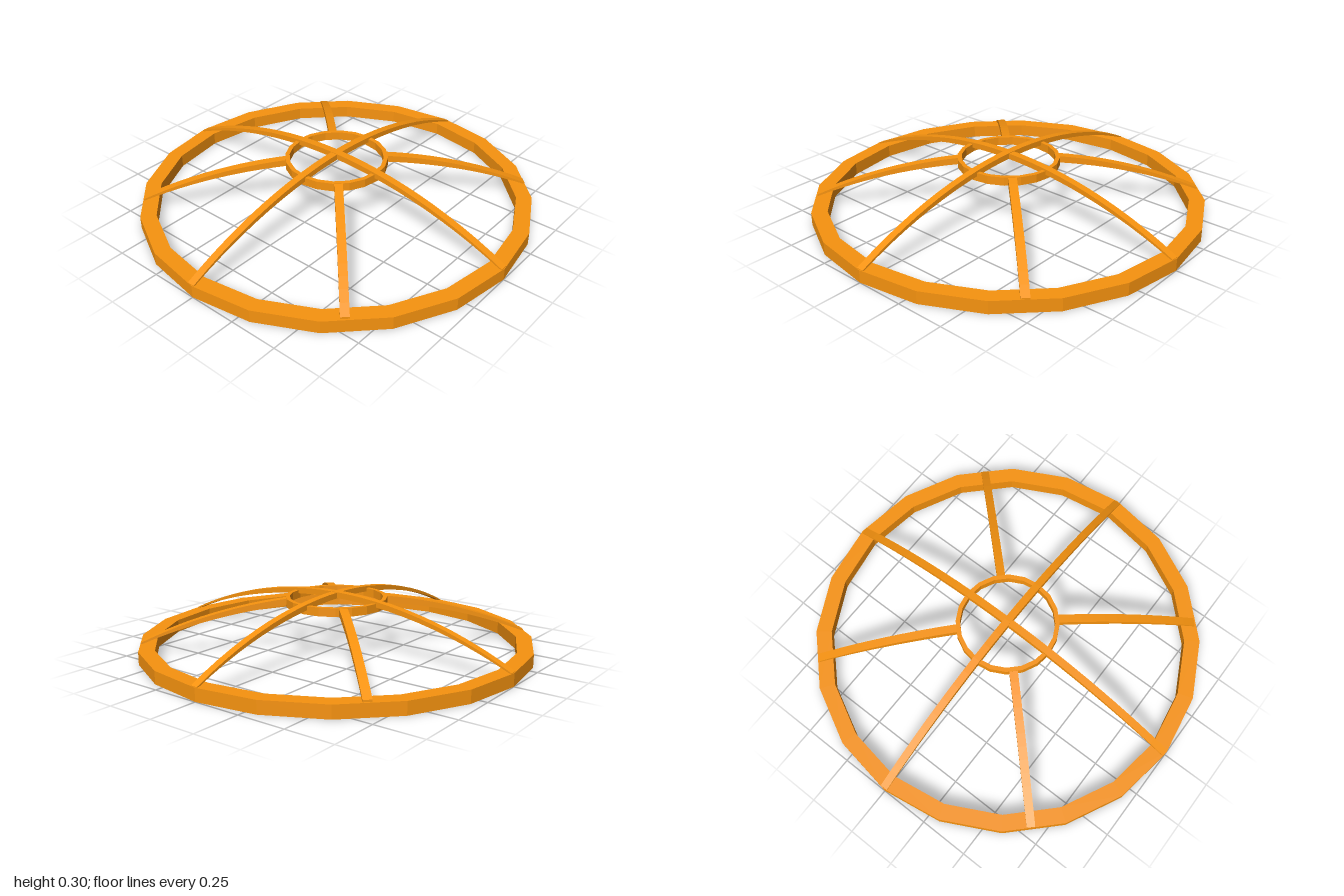
import * as THREE from 'three';

const material = new THREE.MeshStandardMaterial({ color: 0xf7930f, flatShading: true });

// Flat polygonal ring with its corners on the x and z axes
function ring(name, outer, inner, y0, y1, sides) {
  const profile = [[inner, y0], [outer, y0], [outer, y1], [inner, y1], [inner, y0]]
    .map(([r, y]) => new THREE.Vector2(r, y));
  const mesh = new THREE.Mesh(new THREE.LatheGeometry(profile, sides), material);
  mesh.name = name;
  return mesh;
}

// Height of a shallow circular arch at distance r from its middle
function archHeight(r, peak, foot, span) {
  const rise = peak - foot;
  const radius = (span * span + rise * rise) / (2 * rise);
  return peak - radius + Math.sqrt(radius * radius - r * r);
}

// Curved bar between distances r0 and r1, tapering towards the rim
function archBar(name, r0, r1, peak, depth, width, segments) {
  const top = [], bottom = [];
  for (let i = 0; i <= segments; i++) {
    const t = r0 + (r1 - r0) * i / segments;
    const s = Math.min(Math.abs(t), 1);
    const y = archHeight(s, peak, 0.065, 1);
    top.push(new THREE.Vector2(t, y));
    bottom.push(new THREE.Vector2(t, y - depth * (1 - 0.75 * s * s)));
  }
  const shape = new THREE.Shape([...bottom, ...top.reverse()]);
  const geometry = new THREE.ExtrudeGeometry(shape, { depth: width, bevelEnabled: false });
  geometry.translate(0, 0, -width / 2);
  const mesh = new THREE.Mesh(geometry, material);
  mesh.name = name;
  return mesh;
}

export function createModel() {
  const group = new THREE.Group();
  group.name = 'domedWheelFrame';

  // Outer rim and small raised hub ring
  group.add(ring('outerRim', 1, 0.92, 0, 0.065, 20));
  group.add(ring('hubRing', 0.26, 0.238, 0.232, 0.275, 20));

  // Two full arches crossing over the hub
  const sideArch = archBar('sideToSideArch', -0.995, 0.995, 0.298, 0.03, 0.038, 24);
  sideArch.rotation.y = -0.01;
  const frontArch = archBar('frontToBackArch', -0.995, 0.995, 0.3, 0.03, 0.038, 24);
  frontArch.rotation.y = Math.PI / 2;
  group.add(sideArch, frontArch);

  // Four diagonal ribs from the hub ring to the rim, as plan points [x, z]
  const ribs = {
    backRightRib: [-0.68, -0.7],
    backLeftRib: [0.69, -0.68],
    frontLeftRib: [0.69, 0.69],
    frontRightRib: [-0.72, 0.65],
  };
  for (const [name, [x, z]] of Object.entries(ribs)) {
    const rib = archBar(name, 0.25, Math.hypot(x, z) + 0.01, 0.287, 0.036, 0.042, 12);
    rib.rotation.y = Math.atan2(-z, x);
    group.add(rib);
  }
  return group;
}
